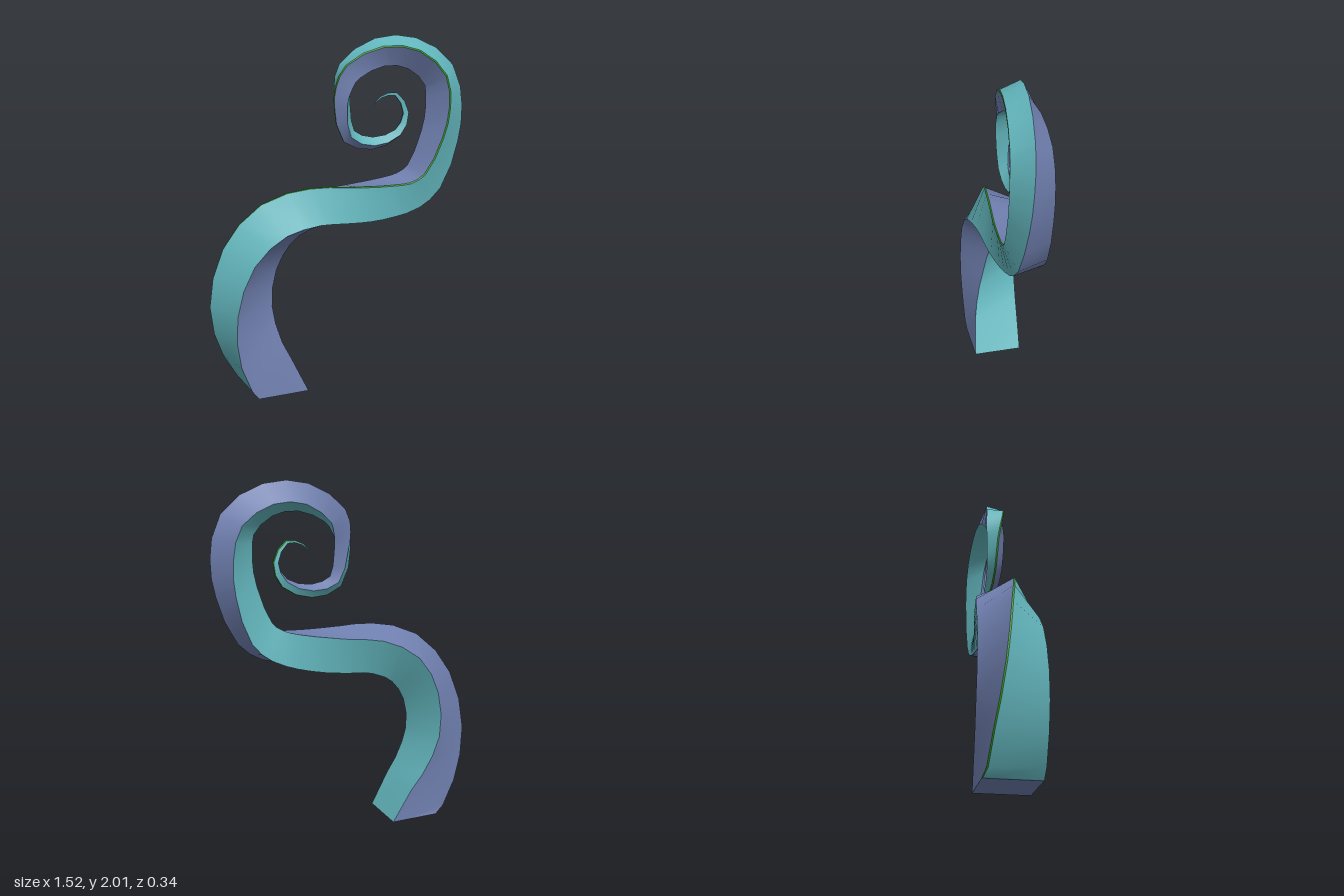
import * as THREE from 'three';

// Stations along the tendril: x, y, half diagonal of the square section, twist in degrees
const STATIONS = [
  [-0.395, 0, 0.21, 47], [-0.535, 0.245, 0.195, 57], [-0.594, 0.51, 0.178, 72],
  [-0.535, 0.785, 0.168, 86], [-0.38, 0.973, 0.166, 102], [-0.17, 1.048, 0.154, 116],
  [0, 1.055, 0.148, 123], [0.145, 1.062, 0.144, 130], [0.3, 1.08, 0.135, 137],
  [0.43, 1.112, 0.125, 145], [0.53, 1.187, 0.119, 152], [0.625, 1.42, 0.114, 164],
  [0.648, 1.6, 0.112, 172], [0.61, 1.78, 0.105, 180], [0.44, 1.905, 0.093, 192],
  [0.24, 1.915, 0.084, 204], [0.06, 1.815, 0.077, 224], [0.02, 1.72, 0.066, 240],
  [0.015, 1.62, 0.055, 257], [0.055, 1.45, 0.046, 270], [0.2, 1.402, 0.039, 281],
  [0.355, 1.455, 0.031, 291], [0.405, 1.57, 0.022, 300], [0.34, 1.68, 0.014, 306],
  [0.25, 1.665, 0.007, 312], [0.2, 1.615, 0.001, 315],
];
const STEPS = (STATIONS.length - 1) * 2;
const BEVEL = 0.006;

// One cross-section: four corners, the last one split by a narrow bevel
function makeRings() {
  const path = new THREE.CatmullRomCurve3(STATIONS.map(([x, y]) => new THREE.Vector3(x, y, 0)));
  const section = new THREE.CatmullRomCurve3(
    STATIONS.map(([, , r, a]) => new THREE.Vector3(r, THREE.MathUtils.degToRad(a), 0)), false, 'catmullrom');
  const rings = [];
  for (let i = 0; i <= STEPS; i++) {
    const u = i / STEPS;
    const centre = path.getPoint(u);
    const t = i === 0 ? new THREE.Vector3(0, 1, 0) : path.getTangent(u);
    const { x: r, y: twist } = section.getPoint(u);
    const corner = (k) => {
      const a = twist + k * Math.PI / 2;
      const n = r * Math.cos(a);
      return new THREE.Vector3(centre.x - t.y * n, centre.y + t.x * n, r * Math.sin(a));
    };
    const [a, b, c, d] = [0, 1, 2, 3].map(corner);
    const cut = Math.min(0.3, BEVEL / (r * Math.SQRT2));
    rings.push([a, b, c, d.clone().lerp(c, cut), d.clone().lerp(a, cut)]);
  }
  return rings;
}

function makeGeometry(points, index) {
  const geometry = new THREE.BufferGeometry().setFromPoints(points);
  geometry.setIndex(index);
  geometry.computeVertexNormals();
  return geometry;
}

// One long face of the tendril, smooth along its length
function makeSide(rings, j) {
  const points = rings.flatMap((ring) => [ring[j], ring[(j + 1) % 5]]);
  const index = [];
  for (let i = 0; i < STEPS; i++) {
    const a = i * 2;
    index.push(a, a + 1, a + 3, a, a + 3, a + 2);
  }
  return makeGeometry(points, index);
}

export function createModel() {
  const group = new THREE.Group();
  group.name = 'tendril';
  const teal = new THREE.MeshStandardMaterial({ color: 0x62b5bc });
  const violet = new THREE.MeshStandardMaterial({ color: 0x7080b0 });
  const green = new THREE.MeshStandardMaterial({ color: 0x2f9a10 });
  const add = (name, geometry, material) => {
    const mesh = new THREE.Mesh(geometry, material);
    mesh.name = name;
    group.add(mesh);
  };

  const rings = makeRings();
  const sides = [
    ['frontSide', violet], ['rightSide', teal], ['backSide', violet],
    ['edgeBevel', green], ['leftSide', teal],
  ];
  sides.forEach(([name, material], j) => add(name, makeSide(rings, j), material));

  // Flat cut at the foot
  add('baseCap', makeGeometry(rings[0], [0, 2, 1, 0, 3, 2, 0, 4, 3]), violet);
  return group;
}
